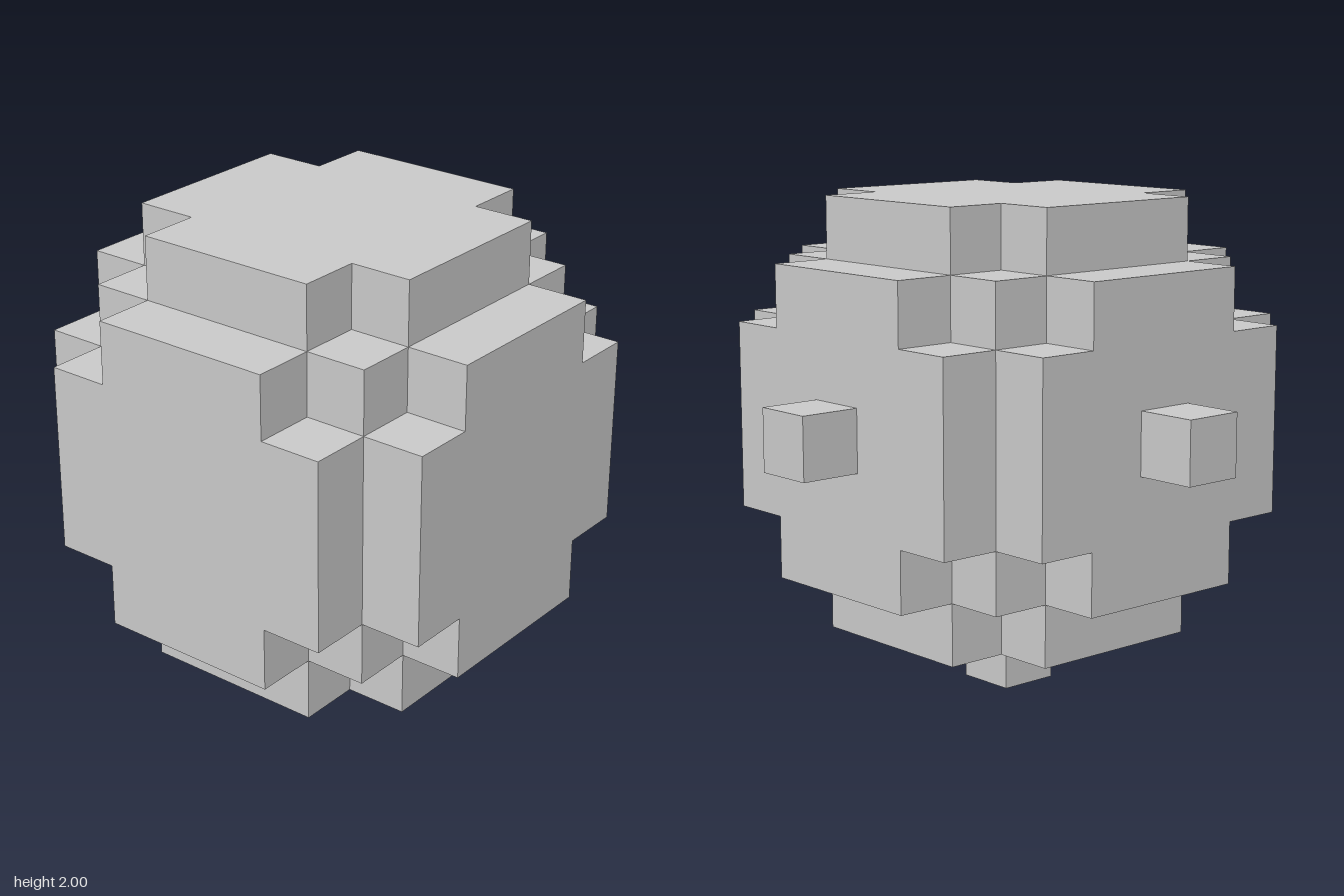
import * as THREE from 'three';
import { mergeGeometries } from 'three/addons/utils/BufferGeometryUtils.js';

const CELL = 0.25;
const CENTRE = new THREE.Vector3(0.125, 1.125, 0.125);
const Z = new THREE.Vector3(0, 0, 1);
const DIRECTIONS = [[1, 0, 0], [-1, 0, 0], [0, 1, 0], [0, -1, 0], [0, 0, 1], [0, 0, -1]]
  .map((d) => new THREE.Vector3(...d));

// A cell is filled when its centre lies within four cells of the middle;
// the grid spans -4..3, so poles appear only on the negative sides.
const inGrid = (n) => n >= -4 && n <= 3;
const filled = (c) => c.toArray().every(inGrid) && c.lengthSq() <= 16;
const isPole = (c) => Math.min(c.x, c.y, c.z) === -4;

// Outer faces of a list of cells, leaving out those hidden by a neighbour
function shell(cells) {
  const faces = [];
  for (const cell of cells) {
    for (const dir of DIRECTIONS) {
      if (filled(cell.clone().add(dir))) continue;
      const position = cell.clone().addScaledVector(dir, 0.5).multiplyScalar(CELL).add(CENTRE);
      const face = new THREE.PlaneGeometry(CELL, CELL);
      face.applyQuaternion(new THREE.Quaternion().setFromUnitVectors(Z, dir));
      face.translate(position.x, position.y, position.z);
      faces.push(face);
    }
  }
  return mergeGeometries(faces);
}

export function createModel() {
  const model = new THREE.Group();
  model.name = 'blockSphere';
  const grey = new THREE.MeshStandardMaterial({ color: 0xc8c8c8 });
  grey.name = 'lightGrey';

  const cells = [];
  for (let x = -4; x <= 3; x++)
    for (let y = -4; y <= 3; y++)
      for (let z = -4; z <= 3; z++) {
        const cell = new THREE.Vector3(x, y, z);
        if (filled(cell)) cells.push(cell);
      }

  const add = (name, list) => {
    const mesh = new THREE.Mesh(shell(list), grey);
    mesh.name = name;
    model.add(mesh);
  };

  // Stepped ball
  add('ball', cells.filter((c) => !isPole(c)));

  // Single cubes on the right, bottom and back
  add('rightCube', cells.filter((c) => c.x === -4));
  add('bottomCube', cells.filter((c) => c.y === -4));
  add('backCube', cells.filter((c) => c.z === -4));

  return model;
}
